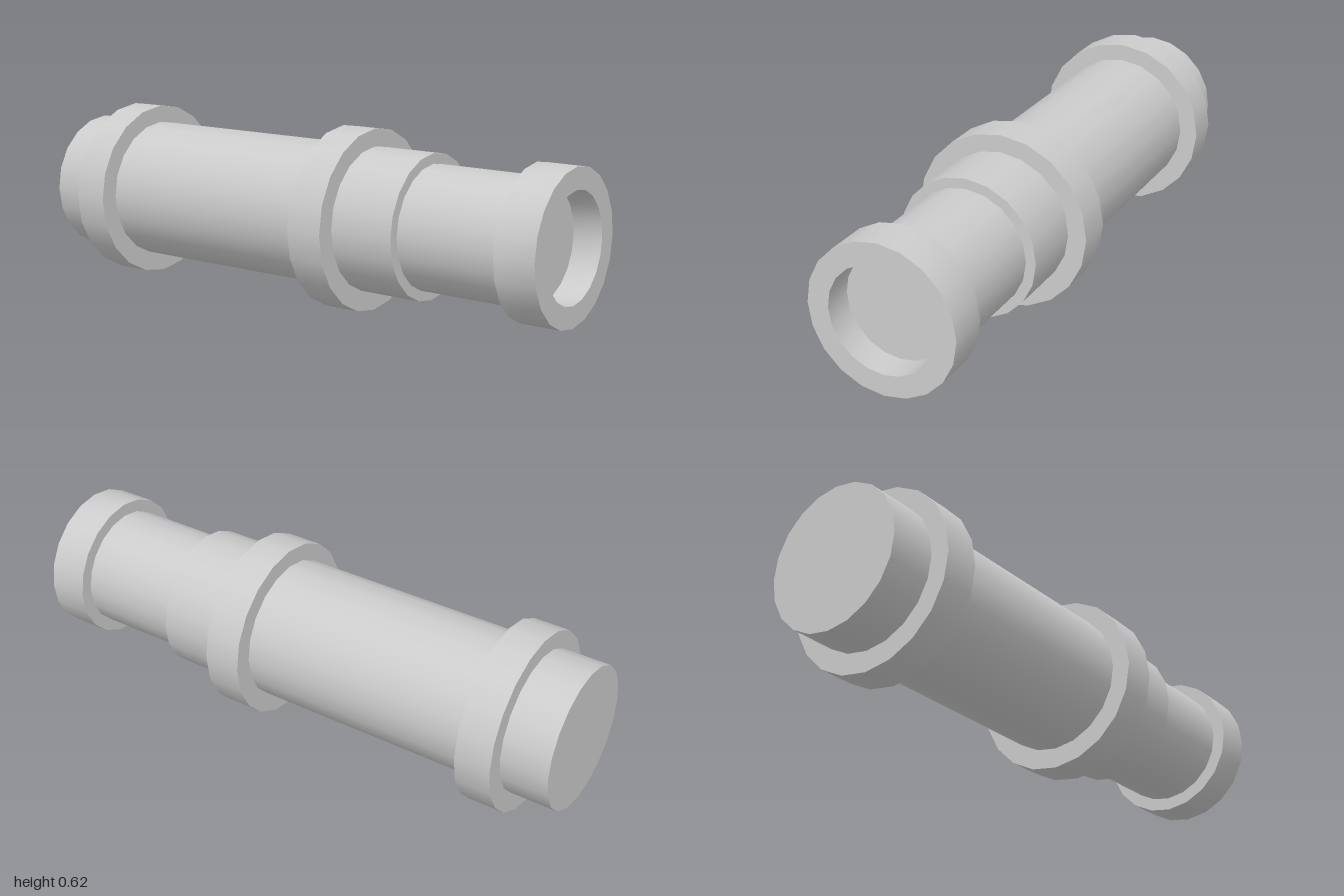
import * as THREE from 'three';
import { toCreasedNormals } from 'three/addons/utils/BufferGeometryUtils.js';

const SIDES = 20;
const AXIS_Y = 0.315; // height of the tubes' common axis
const BAND_Y = 0.31; // bands rest on the ground

export function createModel() {
  const group = new THREE.Group();
  const material = new THREE.MeshStandardMaterial({ color: 0xcccccc });

  const add = (name, geometry, y) => {
    const mesh = new THREE.Mesh(geometry, material);
    mesh.name = name;
    mesh.position.y = y;
    group.add(mesh);
  };

  // Solid round section lying along z, from back to front
  const section = (name, radius, back, front, y = AXIS_Y) => {
    const geometry = new THREE.CylinderGeometry(radius, radius, front - back, SIDES);
    geometry.rotateX(Math.PI / 2).translate(0, 0, (front + back) / 2);
    add(name, geometry, y);
  };

  // Main barrel and the narrower tube sliding out of it
  section('mainTube', 0.245, -1, 0.485);
  section('drawTube', 0.21, 0.485, 0.87);

  // Raised bands around the barrel
  section('frontBand', 0.31, 0.125, 0.255, BAND_Y);
  section('rearBand', 0.31, -0.835, -0.71, BAND_Y);

  // Eyepiece collar with a recessed flat lens
  const profile = [
    [0.2, 0.86], [0.255, 0.86], [0.255, 1], [0.182, 1], [0.182, 0.9], [0, 0.9],
  ].map(([r, z]) => new THREE.Vector2(r, z));
  const eyepiece = new THREE.LatheGeometry(profile, SIDES).rotateX(Math.PI / 2);
  add('eyepiece', toCreasedNormals(eyepiece, 0.6), AXIS_Y);

  return group;
}
